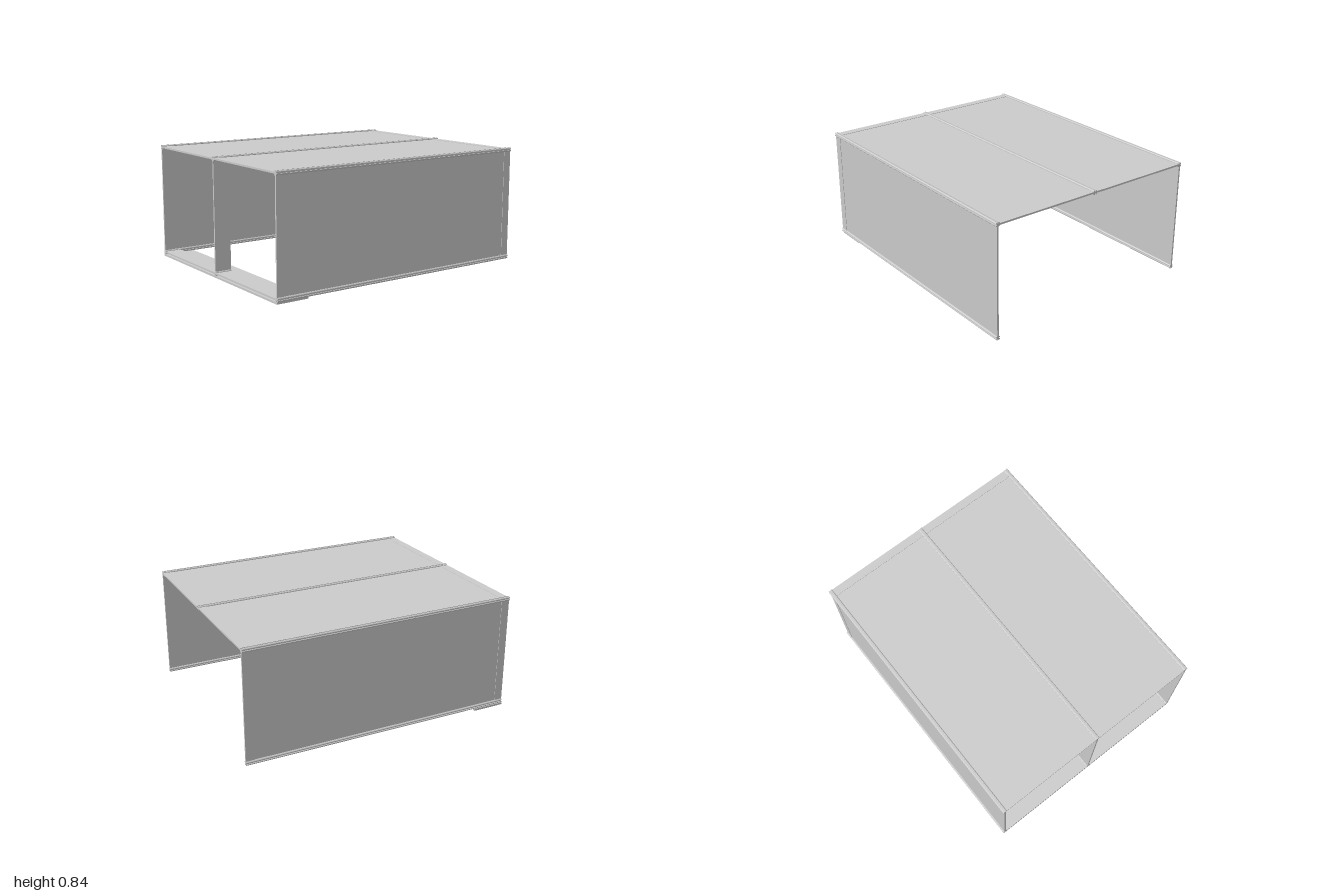
import * as THREE from 'three';

const material = new THREE.MeshStandardMaterial({ color: 0xcccccc, flatShading: true });
const X = 0.791, LOW = 0.03, HIGH = 0.824, R = 0.0145;
const STRIP = 0.06, POST = 0.12, FRAME = 0.012, SHEET = 0.006;

// Chamfered square rail with a slot in each of its four sides
function railShape() {
  const slot = 0.004, floor = 0.007, c = 0.009;
  const side = [[R, -c], [R, -slot], [floor, -slot], [floor, slot], [R, slot], [R, c]];
  const points = [];
  for (let i = 0; i < 4; i++) {
    const a = i * Math.PI / 2, cos = Math.cos(a), sin = Math.sin(a);
    for (const [x, y] of side) points.push(new THREE.Vector2(x * cos - y * sin, x * sin + y * cos));
  }
  return new THREE.Shape(points);
}

export function createModel() {
  const model = new THREE.Group();
  model.name = 'frameShelter';

  const add = (name, geometry, x, y, z) => {
    const mesh = new THREE.Mesh(geometry, material);
    mesh.name = name;
    mesh.position.set(x, y, z);
    model.add(mesh);
  };
  const box = (name, w, h, d, x, y, z) => add(name, new THREE.BoxGeometry(w, h, d), x, y, z);
  const rail = (name, x, y, length) => add(name,
    new THREE.ExtrudeGeometry(railShape(), { depth: length, bevelEnabled: false }), x, y, 1 - length);

  const midY = (LOW + HIGH) / 2;
  const wallH = HIGH - LOW - 0.014, roofW = X - 0.014;

  // Long rails, with a short joint under the middle post
  rail('middleTopRail', 0, HIGH, 2);
  rail('middleBottomJoint', 0, LOW, POST);

  for (const s of [-1, 1]) {
    const side = s > 0 ? 'left' : 'right';
    rail(side + 'TopRail', s * X, HIGH, 2);
    rail(side + 'BottomRail', s * X, LOW, 2);

    // Thin sheets framed by thicker strips at both ends
    box(side + 'WallPanel', SHEET, wallH, 2 - 2 * STRIP, s * X, midY, 0);
    box(side + 'RoofPanel', roofW, SHEET, 2 - 2 * STRIP, s * X / 2, HIGH, 0);
    for (const e of [-1, 1]) {
      const end = e > 0 ? 'Front' : 'Back', z = e * (1 - STRIP / 2);
      box(side + end + 'Post', FRAME, wallH, STRIP, s * X, midY, z);
      box(side + end + 'RoofStrip', roofW, FRAME, STRIP, s * X / 2, HIGH, z);
    }

    // Front cross member between the bottom rails
    box(side + 'FrontSill', roofW, FRAME, POST, s * X / 2, LOW, 1 - POST / 2);
  }

  // Middle front post and the base plate below the sill
  box('middleFrontPost', FRAME, wallH, POST, 0, midY, 1 - POST / 2);
  box('basePlate', 1.596, 0.014, 0.235, -0.006, 0.007, 1 - 0.235 / 2);

  return model;
}
